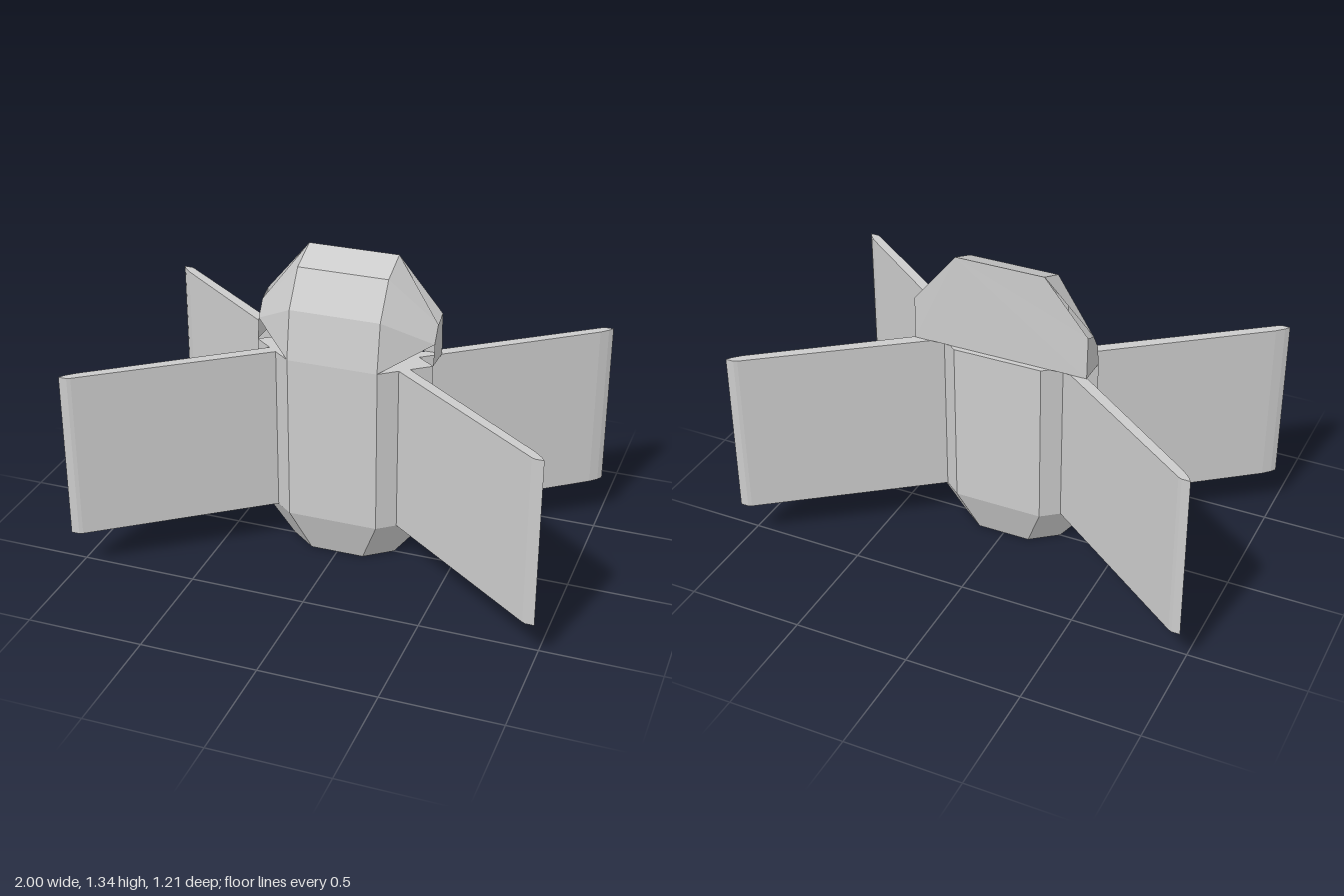
import * as THREE from 'three';

const material = new THREE.MeshStandardMaterial({ color: 0xcccccc, flatShading: true, side: THREE.DoubleSide });

// Upright prism from an [x, z] outline; the lower end can be scaled to taper it
function prism(name, outline, y0, y1, lowerScale = 1) {
  const shape = new THREE.Shape(outline.map(([x, z]) => new THREE.Vector2(x, -z)));
  const geo = new THREE.ExtrudeGeometry(shape, { depth: y1 - y0, bevelEnabled: false });
  geo.rotateX(-Math.PI / 2).translate(0, y0, 0);
  const p = geo.attributes.position;
  for (let i = 0; i < p.count; i++) {
    if (p.getY(i) < y0 + 1e-4) p.setXYZ(i, p.getX(i) * lowerScale, y0, p.getZ(i) * lowerScale);
  }
  geo.computeVertexNormals();
  const mesh = new THREE.Mesh(geo, material);
  mesh.name = name;
  return mesh;
}

// Faceted hood: rounded front, open corner gaps and a flat back plate
function buildHood() {
  const front = [[0.92, 0.15], [1.13, 0.115], [1.28, 0.015], [1.335, -0.12]].map(([y, z]) => [0.195, y, z]);
  const flank = [[0.92, 0], [1.01, -0.015], [1.08, -0.06], [1.105, -0.12]].map(([y, z]) => [0.385, y, z]);
  const rear = [0.385, 0.92, -0.125];
  const mirror = ([x, y, z]) => [-x, y, z];
  const positions = [];
  const face = (...c) => {
    for (let i = 1; i < c.length - 1; i++) positions.push(...c[0], ...c[i], ...c[i + 1]);
  };
  const bothSides = (...c) => {
    face(...c);
    face(...c.map(mirror).reverse());
  };

  // Front strips
  for (let i = 0; i < 3; i++) face(mirror(front[i]), front[i], front[i + 1], mirror(front[i + 1]));
  // Slanted corner facets
  bothSides(front[0], flank[1], front[1]);
  bothSides(front[1], flank[1], flank[2], front[2]);
  bothSides(front[2], flank[2], front[3]);
  // Flanks
  bothSides(flank[0], rear, flank[3], flank[2], flank[1]);
  // Back plate
  face(front[3], flank[3], rear, mirror(rear), mirror(flank[3]), mirror(front[3]));

  const geo = new THREE.BufferGeometry();
  geo.setAttribute('position', new THREE.Float32BufferAttribute(positions, 3));
  geo.computeVertexNormals();
  const mesh = new THREE.Mesh(geo, material);
  mesh.name = 'hood';
  return mesh;
}

export function createModel() {
  const group = new THREE.Group();
  group.name = 'finnedBody';

  // Hexagonal body with a tapered foot
  const hexagon = [[0.385, 0], [0.195, 0.148], [-0.195, 0.148], [-0.385, 0], [-0.195, -0.148], [0.195, -0.148]];
  group.add(prism('body', hexagon, 0.19, 0.92));
  group.add(prism('foot', hexagon, 0, 0.19, 0.6));
  group.add(buildHood());

  // Four diagonal fins with chamfered tips
  const fin = [[0.24, 0.07], [0.95, 0.6], [0.965, 0.607], [1, 0.607], [0.985, 0.585], [0.955, 0.555], [0.28, 0.04]];
  for (const sx of [1, -1]) {
    for (const sz of [1, -1]) {
      const name = (sz > 0 ? 'front' : 'back') + (sx > 0 ? 'Left' : 'Right') + 'Fin';
      group.add(prism(name, fin.map(([x, z]) => [x * sx, z * sz]), 0.19, 0.92));
    }
  }
  return group;
}
